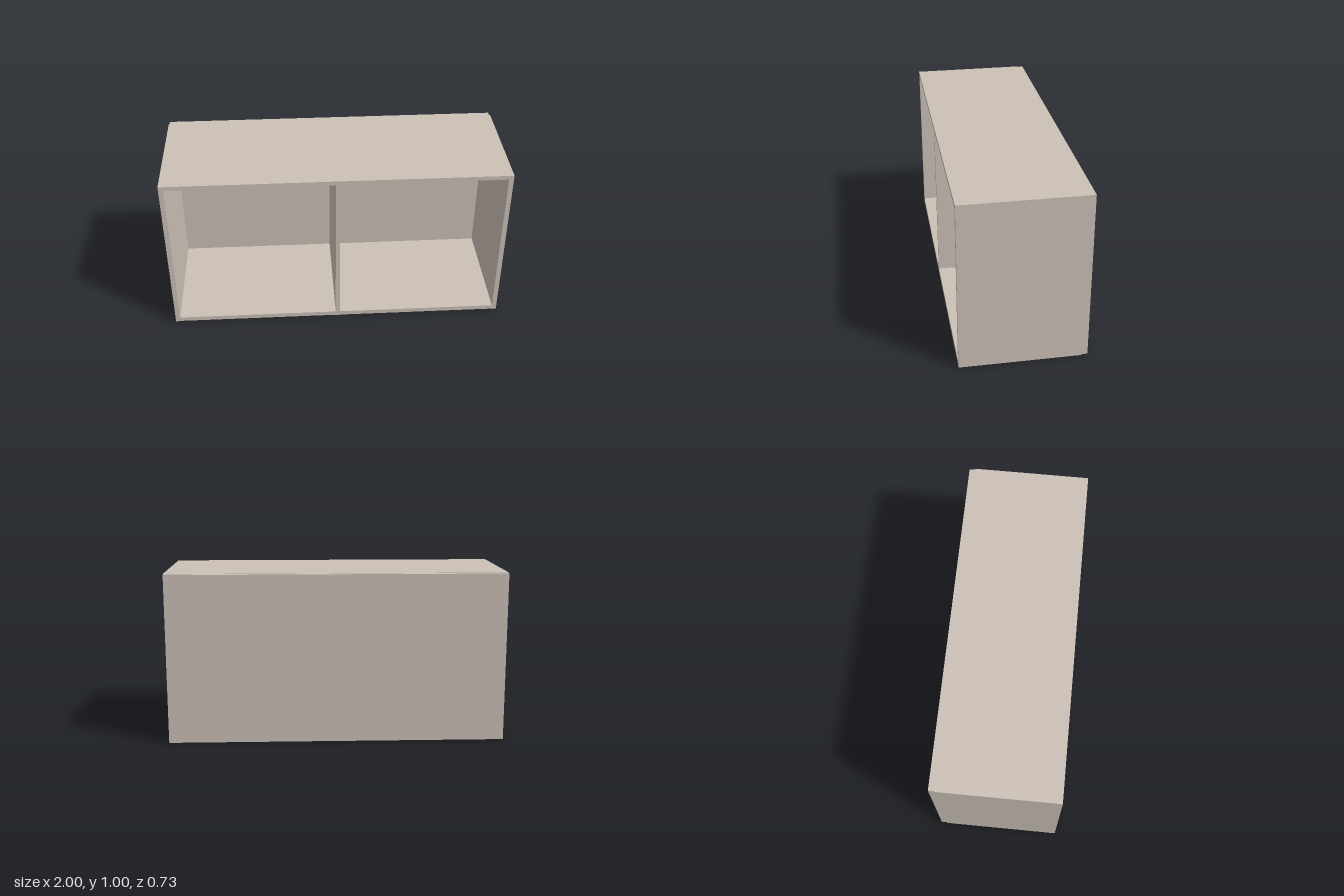
import * as THREE from 'three';

export function createModel() {
  const model = new THREE.Group();
  const wood = new THREE.MeshStandardMaterial({ color: 0xcbc0b6 });
  wood.name = 'pale wood';

  // Board given by its lower and upper limits on each axis
  const board = (name, [x0, x1], [y0, y1], [z0, z1]) => {
    const mesh = new THREE.Mesh(new THREE.BoxGeometry(x1 - x0, y1 - y0, z1 - z0), wood);
    mesh.name = name;
    mesh.position.set((x0 + x1) / 2, (y0 + y1) / 2, (z0 + z1) / 2);
    model.add(mesh);
  };

  const depth = [-0.328, 0.362];

  // Side panels run the full height
  board('leftSide', [0.97, 0.998], [0, 1], depth);
  board('rightSide', [-0.998, -0.97], [0, 1], depth);

  // Top and bottom sit between the sides
  board('topPanel', [-0.97, 0.97], [0.975, 1], depth);
  board('bottomPanel', [-0.97, 0.97], [0.002, 0.03], depth);

  // Centre divider stands between the two bays, its foot just proud of the bottom
  board('divider', [-0.01, 0.016], [0.03, 0.975], depth);
  board('dividerFoot', [-0.01, 0.016], [0, 0.002], depth);

  // Back panel, a hair narrower and lower than the frame
  board('backPanel', [-0.994, 0.992], [0.001, 0.998], [-0.362, -0.328]);

  // The cabinet stands very slightly turned
  model.rotation.y = -0.005;
  const root = new THREE.Group();
  model.name = 'cabinet';
  root.add(model);
  return root;
}
